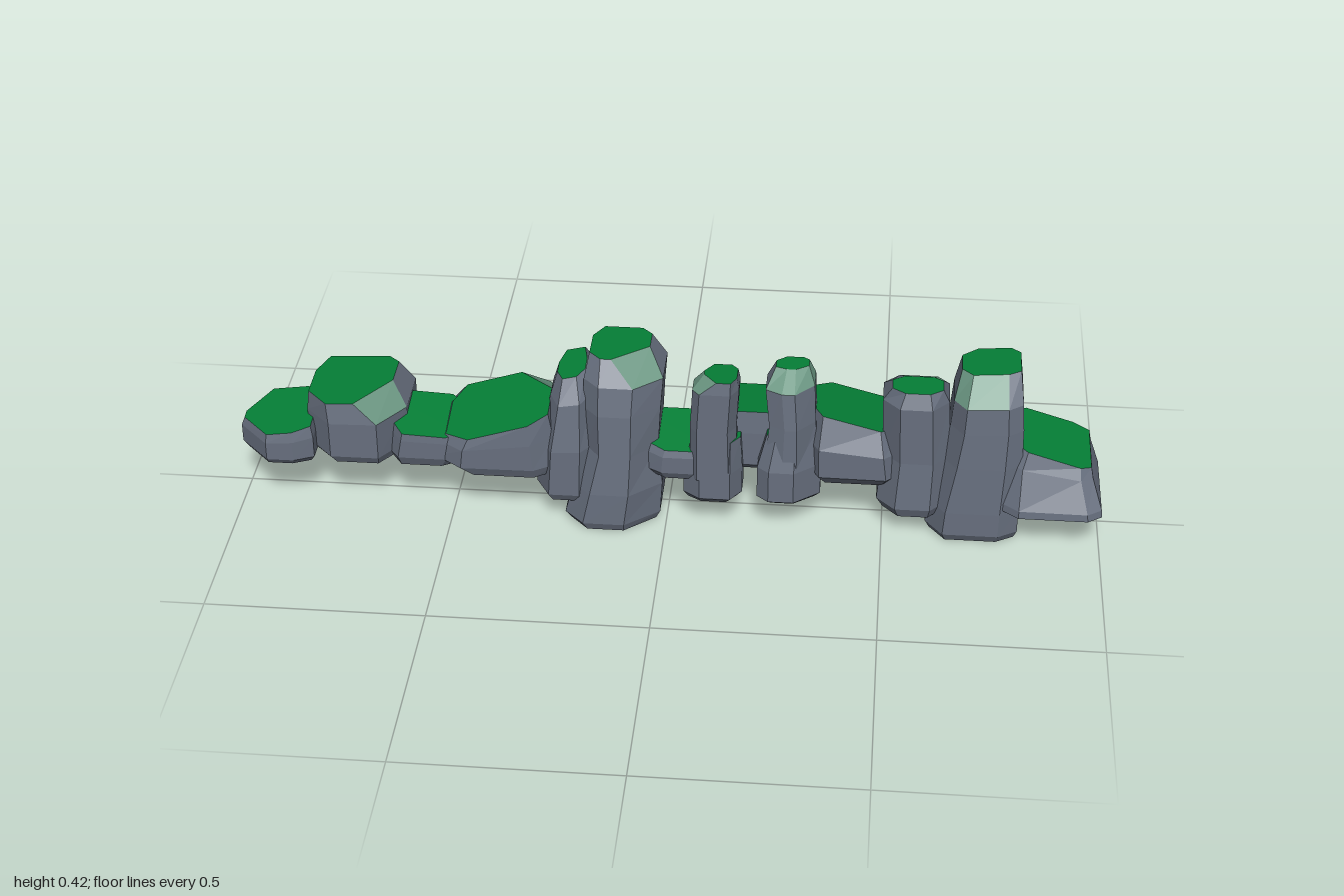
import * as THREE from 'three';

const stone = new THREE.MeshStandardMaterial({ color: 0x676f7e, flatShading: true, name: 'stone' });
const moss = new THREE.MeshStandardMaterial({ color: 0x057f36, flatShading: true, name: 'moss' });
const paleMoss = new THREE.MeshStandardMaterial({ color: 0x6a9581, flatShading: true, name: 'pale moss' });

// Small seeded generator for uneven corner cuts
function seeded(s) {
  return () => (s = (s * 16807) % 2147483647) / 2147483647;
}

// Rock lofted through eight-sided rings, each level = [y, x0, x1, z0, z1, corner cuts by index].
// tilt = slope of the top along x and z; pale lists the sides of the top band
// in pale moss (0 right, 2 back, 4 left, 6 front, odd numbers = corners between);
// corners sets single corner cuts for every level.
function rock(name, seed, levels, { tilt = [0, 0], pale = [], cut = 0.28, corners = {} } = {}) {
  const rnd = seeded(seed * 7919 + 13);
  const base = Object.assign(Array.from({ length: 8 }, () => cut * (0.5 + rnd())), corners);
  const low = levels[0][0], high = levels[levels.length - 1][0];
  const rings = levels.map(([y, x0, x1, z0, z1, own = {}]) => {
    const k = { ...base, ...own };
    const w = x1 - x0, d = z1 - z0, f = ((y - low) / (high - low)) ** 2;
    return [
      [x1, z1 - k[0] * d], [x1, z0 + k[1] * d], [x1 - k[2] * w, z0], [x0 + k[3] * w, z0],
      [x0, z0 + k[4] * d], [x0, z1 - k[5] * d], [x0 + k[6] * w, z1], [x1 - k[7] * w, z1],
    ].map(([x, z]) => [x, y + f * (tilt[0] * (x - (x0 + x1) / 2) + tilt[1] * (z - (z0 + z1) / 2)), z]);
  });
  const faces = [[], [], []];
  const last = rings.length - 1;
  for (let r = 0; r < last; r++) {
    for (let i = 0; i < 8; i++) {
      const j = (i + 1) % 8, a = rings[r][i], b = rings[r][j], c = rings[r + 1][j], d = rings[r + 1][i];
      faces[r === last - 1 && pale.includes(i === 7 ? 7 : i) ? 2 : 0].push(a, b, c, a, c, d);
    }
  }
  for (let i = 1; i < 7; i++) {
    faces[0].push(rings[0][0], rings[0][i + 1], rings[0][i]);
    faces[1].push(rings[last][0], rings[last][i], rings[last][i + 1]);
  }
  const geo = new THREE.BufferGeometry();
  geo.setAttribute('position', new THREE.Float32BufferAttribute(faces.flat(2), 3));
  let start = 0;
  faces.forEach((f, m) => {
    if (f.length) geo.addGroup(start, f.length, m);
    start += f.length;
  });
  geo.computeVertexNormals();
  const mesh = new THREE.Mesh(geo, [stone, moss, paleMoss]);
  mesh.name = name;
  return mesh;
}

export function createModel() {
  const g = new THREE.Group();
  g.name = 'mossyRockWall';
  g.add(
    // Low slabs on the right-hand end
    rock('endSlabRight', 1, [[0.125, -0.99, -0.83, -0.05, 0.11], [0.14, -1, -0.82, -0.06, 0.12],
      [0.19, -1, -0.82, -0.06, 0.12], [0.217, -0.992, -0.825, -0.055, 0.115]],
      { tilt: [0.14, -0.12], cut: 0.2, corners: { 3: 0.3, 4: 0.45, 5: 0.42, 6: 0.4 } }),
    rock('wideSlabRight', 2, [[0.13, -0.82, -0.62, -0.1, 0.1], [0.15, -0.84, -0.61, -0.13, 0.11],
      [0.24, -0.84, -0.61, -0.125, 0.11], [0.29, -0.835, -0.645, -0.11, 0.1, { 0: 0.5, 7: 0.4 }]],
      { pale: [7], tilt: [0.05, 0], cut: 0.22, corners: { 0: 0.35, 7: 0.25 } }),
    rock('lowSlabRight', 3, [[0.125, -0.64, -0.49, -0.05, 0.09], [0.15, -0.65, -0.47, -0.06, 0.1],
      [0.2, -0.64, -0.47, -0.06, 0.1], [0.222, -0.635, -0.475, -0.055, 0.098]], { tilt: [-0.05, -0.15], cut: 0.2 }),
    rock('slopingSlabRight', 4, [[0.125, -0.5, -0.26, -0.1, 0.12], [0.15, -0.54, -0.25, -0.12, 0.13],
      [0.215, -0.53, -0.26, -0.12, 0.13], [0.262, -0.51, -0.27, -0.07, 0.125, { 1: 0.42, 2: 0.34 }]],
      { tilt: [0.32, -0.18], pale: [1], cut: 0.18, corners: { 1: 0.15, 2: 0.12 } }),

    // Right-hand pair of standing stones
    rock('slimPillarRight', 5, [[0.06, -0.29, -0.17, -0.08, 0.11], [0.08, -0.305, -0.16, -0.09, 0.12],
      [0.2, -0.295, -0.16, -0.09, 0.12], [0.32, -0.27, -0.17, -0.09, 0.1], [0.37, -0.255, -0.19, -0.05, 0.06]],
      { tilt: [0.25, -0.1], pale: [0] }),
    rock('bigPillarRight', 7, [[0.0, -0.22, -0.025, -0.08, 0.135], [0.02, -0.235, -0.015, -0.09, 0.143],
      [0.1, -0.215, -0.01, -0.09, 0.142], [0.2, -0.185, -0.02, -0.09, 0.13], [0.3, -0.19, -0.015, -0.09, 0.12],
      [0.368, -0.19, -0.01, -0.095, 0.105], [0.418, -0.18, -0.045, -0.085, 0.06, { 0: 0.45, 7: 0.62 }]],
      { pale: [7], cut: 0.22, corners: { 0: 0.28, 7: 0.36 } }),

    // Middle stones
    rock('smallSlabMiddle', 8, [[0.13, -0.03, 0.08, -0.02, 0.1], [0.15, -0.05, 0.1, -0.04, 0.11],
      [0.2, -0.045, 0.1, -0.04, 0.11], [0.222, -0.035, 0.09, -0.035, 0.105]], { tilt: [0, -0.2], cut: 0.18 }),
    rock('pillarFootMiddle', 9, [[0.07, 0.05, 0.16, 0.01, 0.1], [0.09, 0.04, 0.175, -0.01, 0.12],
      [0.16, 0.04, 0.175, -0.01, 0.12], [0.24, 0.06, 0.17, 0.01, 0.11]]),
    rock('slimPillarMiddle', 10, [[0.14, 0.055, 0.165, 0.0, 0.12], [0.27, 0.055, 0.16, 0.01, 0.12],
      [0.37, 0.06, 0.165, 0.01, 0.12], [0.4, 0.085, 0.16, 0.025, 0.115, { 5: 0.45, 6: 0.4 }]],
      { pale: [4, 5], tilt: [0, 0.05] }),
    rock('wideSlabMiddle', 11, [[0.13, 0.1, 0.31, -0.11, 0.04], [0.15, 0.09, 0.33, -0.14, 0.06],
      [0.23, 0.1, 0.32, -0.125, 0.06], [0.28, 0.105, 0.305, -0.105, 0.055]], { tilt: [0, 0.15], cut: 0.24 }),
    rock('pillarFootLeft', 12, [[0.075, 0.23, 0.34, 0.0, 0.1], [0.09, 0.21, 0.355, -0.02, 0.12],
      [0.17, 0.21, 0.355, -0.02, 0.12], [0.25, 0.23, 0.34, 0.0, 0.1]]),
    rock('slimPillarLeft', 13, [[0.15, 0.225, 0.35, -0.02, 0.115], [0.28, 0.235, 0.34, -0.02, 0.11],
      [0.37, 0.225, 0.335, -0.03, 0.1], [0.405, 0.245, 0.32, -0.01, 0.045]], { pale: [0, 1, 2, 5, 6, 7] }),
    rock('wideSlabLeft', 14, [[0.125, 0.34, 0.54, -0.13, 0.08], [0.15, 0.32, 0.56, -0.143, 0.1],
      [0.21, 0.32, 0.55, -0.14, 0.1], [0.265, 0.33, 0.535, -0.128, 0.07]], { tilt: [-0.26, 0.14], cut: 0.17 }),

    // Left-hand pair of standing stones
    rock('broadPillarLeft', 15, [[0.055, 0.5, 0.64, -0.04, 0.1], [0.08, 0.485, 0.65, -0.05, 0.11],
      [0.2, 0.495, 0.65, -0.05, 0.1], [0.345, 0.49, 0.64, -0.05, 0.1], [0.38, 0.51, 0.625, 0.01, 0.085]],
      { pale: [1, 2], cut: 0.2 }),
    rock('bigPillarLeft', 18, [[0.0, 0.61, 0.805, -0.095, 0.105], [0.02, 0.6, 0.812, -0.108, 0.115],
      [0.08, 0.605, 0.812, -0.108, 0.115], [0.2, 0.63, 0.812, -0.1, 0.11], [0.29, 0.645, 0.81, -0.086, 0.105],
      [0.355, 0.65, 0.805, -0.078, 0.1], [0.415, 0.665, 0.797, -0.07, 0.045]],
      { tilt: [0.08, 0], pale: [5, 6], cut: 0.2 }),

    // Sloping slab on the left-hand end
    rock('endSlabLeft', 19, [[0.092, 0.76, 1.0, -0.105, 0.14], [0.11, 0.76, 0.998, -0.105, 0.138],
      [0.19, 0.77, 0.975, -0.097, 0.1], [0.225, 0.785, 0.97, -0.092, 0.085]], { tilt: [-0.3, -0.04], cut: 0.14 }),
  );
  return g;
}
